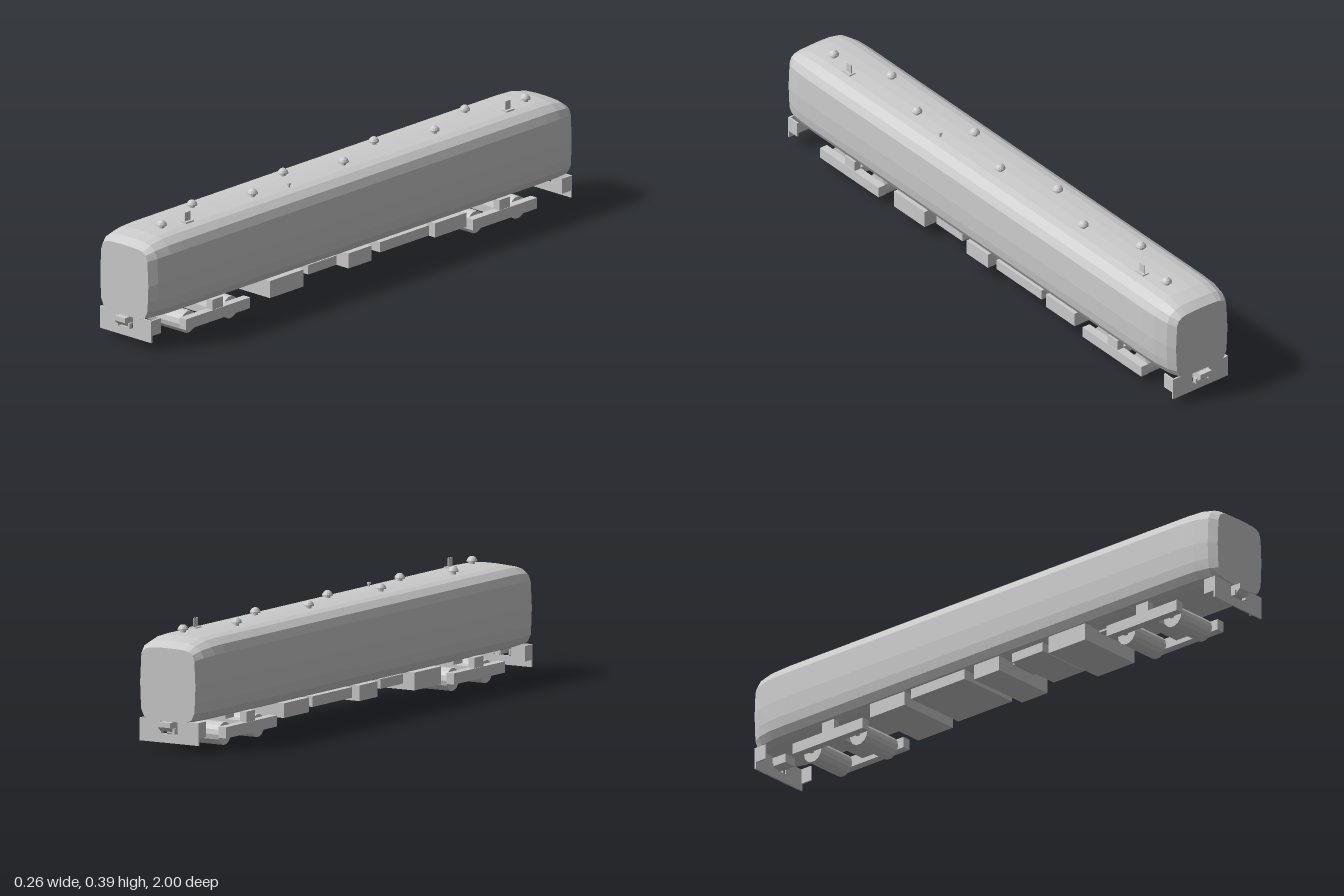
import * as THREE from 'three';

const mat = new THREE.MeshStandardMaterial({ color: 0xcccccc, flatShading: true });

function add(parent, name, geo, x = 0, y = 0, z = 0) {
  const m = new THREE.Mesh(geo, mat);
  m.name = name;
  m.position.set(x, y, z);
  parent.add(m);
  return m;
}

// Box given by its extents on each axis
function box(parent, name, x0, x1, y0, y1, z0, z1) {
  return add(parent, name, new THREE.BoxGeometry(x1 - x0, y1 - y0, z1 - z0),
    (x0 + x1) / 2, (y0 + y1) / 2, (z0 + z1) / 2);
}

// Right half of a cross-section, bottom to top, mirrored into a closed ring
const mirrorRing = half => [...half, ...half.slice().reverse().map(([x, y]) => [-x, y])];

// Carriage shell: a rounded section lofted along z, tapering at both ends
function shellGeometry() {
  const full = mirrorRing([[0.03, 0.096], [0.085, 0.098], [0.11, 0.108], [0.125, 0.132], [0.13, 0.165],
    [0.132, 0.225], [0.129, 0.31], [0.116, 0.336], [0.09, 0.354], [0.065, 0.36], [0.02, 0.363]]);
  const end = mirrorRing([[0.03, 0.097], [0.07, 0.099], [0.089, 0.107], [0.1, 0.13], [0.102, 0.165],
    [0.104, 0.215], [0.1, 0.297], [0.093, 0.316], [0.08, 0.325], [0.062, 0.329], [0.02, 0.331]]);
  // [z, blend towards the end section]
  const stations = [[0.978, 1], [0.95, 0.42], [0.9, 0.08], [0.84, 0]];
  const all = [...stations.map(([z, t]) => [-z, t]), ...stations.slice().reverse()];
  const n = full.length, pos = [], idx = [];
  for (const [z, t] of all)
    for (let j = 0; j < n; j++)
      pos.push(full[j][0] + (end[j][0] - full[j][0]) * t, full[j][1] + (end[j][1] - full[j][1]) * t, z);
  for (let i = 0; i < all.length - 1; i++)
    for (let j = 0; j < n; j++) {
      const k = (j + 1) % n, a = i * n + j, b = i * n + k;
      idx.push(a, b, b + n, a, b + n, a + n);
    }
  const last = (all.length - 1) * n;
  for (let j = 1; j < n - 1; j++)
    idx.push(0, j + 1, j, last, last + j, last + j + 1);
  const g = new THREE.BufferGeometry();
  g.setAttribute('position', new THREE.Float32BufferAttribute(pos, 3));
  g.setIndex(idx);
  g.computeVertexNormals();
  return g;
}

// Two-axle truck
function makeTruck() {
  const truck = new THREE.Group();
  truck.name = 'truck';
  for (const z of [-0.097, 0.097]) {
    const roller = add(truck, 'wheelset', new THREE.CylinderGeometry(0.037, 0.037, 0.146, 14), 0, 0.037, z);
    roller.rotation.z = Math.PI / 2;
    box(truck, 'axle', -0.09, 0.09, 0.031, 0.043, z - 0.006, z + 0.006);
  }
  for (const s of [-1, 1]) {
    const c = s * 0.097;
    box(truck, 'sideFrame', c - 0.014, c + 0.014, 0.03, 0.066, -0.148, 0.148);
    box(truck, 'framePost', c - 0.012, c + 0.012, 0.066, 0.1, -0.025, 0.025);
  }
  box(truck, 'bolster', -0.085, 0.085, 0.045, 0.07, -0.025, 0.025);
  box(truck, 'centrePivot', -0.03, 0.03, 0.07, 0.1, -0.025, 0.025);
  return truck;
}

// End plate with a coupler notch, side wings and coupler; faces +z
function makeEnd() {
  const end = new THREE.Group();
  end.name = 'endAssembly';
  const s = new THREE.Shape([[-0.111, 0.027], [0.111, 0.027], [0.111, 0.1], [0.033, 0.1], [0.033, 0.057],
    [-0.033, 0.057], [-0.033, 0.1], [-0.111, 0.1]].map(p => new THREE.Vector2(...p)));
  add(end, 'endPlate', new THREE.ExtrudeGeometry(s, { depth: 0.006, bevelEnabled: false }), 0, 0, 0.966);
  for (const k of [-1, 1]) {
    const c = k * 0.108;
    box(end, 'plateWing', c - 0.003, c + 0.003, 0.05, 0.1, 0.926, 0.967);
    const x = k * 0.025;
    box(end, 'couplerLug', x - 0.004, x + 0.004, 0.058, 0.076, 0.97, 0.985);
  }
  box(end, 'couplerBox', -0.023, 0.023, 0.067, 0.097, 0.92, 0.98);
  // Coupler head, lower edge sloping up towards the tip
  const h = new THREE.Shape([[0.975, 0.066], [0.985, 0.066], [1, 0.08], [1, 0.096], [0.975, 0.096]]
    .map(([z, y]) => new THREE.Vector2(-z, y)));
  const g = new THREE.ExtrudeGeometry(h, { depth: 0.046, bevelEnabled: false });
  g.rotateY(Math.PI / 2);
  add(end, 'couplerHead', g, -0.023, 0, 0);
  return end;
}

export function createModel() {
  const model = new THREE.Group();
  model.name = 'railCarriage';
  add(model, 'bodyShell', shellGeometry());

  for (const s of [-1, 1]) {
    const truck = makeTruck();
    truck.position.z = s * 0.663;
    model.add(truck);
    const end = makeEnd();
    if (s < 0) end.rotation.y = Math.PI;
    model.add(end);
    // Roof blade aerials
    box(model, 'aerialBase', 0.038, 0.062, 0.359, 0.365, s * 0.74 - 0.018, s * 0.74 + 0.018);
    box(model, 'aerialBlade', 0.0485, 0.0515, 0.36, 0.394, s * 0.74 - 0.012, s * 0.74 + 0.012);
  }

  // Underfloor equipment: [z0, z1, bottom y, half width]
  const equipment = [[0.275, 0.43, 0.043, 0.117], [0.105, 0.235, 0.069, 0.1], [-0.042, 0.065, 0.05, 0.115],
    [-0.31, -0.083, 0.066, 0.113], [-0.48, -0.335, 0.053, 0.115]];
  for (const [z0, z1, y0, w] of equipment) box(model, 'equipmentBox', -w, w, y0, 0.1, z0, z1);
  box(model, 'centreSill', -0.05, 0.05, 0.09, 0.1, -0.5, 0.505);

  // Mushroom vents alternate along the roof
  const cap = [[0, 0.36], [0.009, 0.36], [0.009, 0.37], [0.017, 0.37], [0.017, 0.374], [0.013, 0.381],
    [0.007, 0.386], [0, 0.387]].map(p => new THREE.Vector2(...p));
  const ventGeo = new THREE.LatheGeometry(cap, 14);
  for (let i = -4; i <= 4; i++)
    add(model, 'roofVent', ventGeo, i % 2 ? -0.033 : 0.032, 0, i * 0.21);

  // Small roof fitting
  add(model, 'roofFittingStem', new THREE.CylinderGeometry(0.004, 0.004, 0.016, 8), 0.054, 0.365, 0.275);
  add(model, 'roofFittingCap', new THREE.CylinderGeometry(0.007, 0.007, 0.005, 8), 0.054, 0.372, 0.275);
  return model;
}
